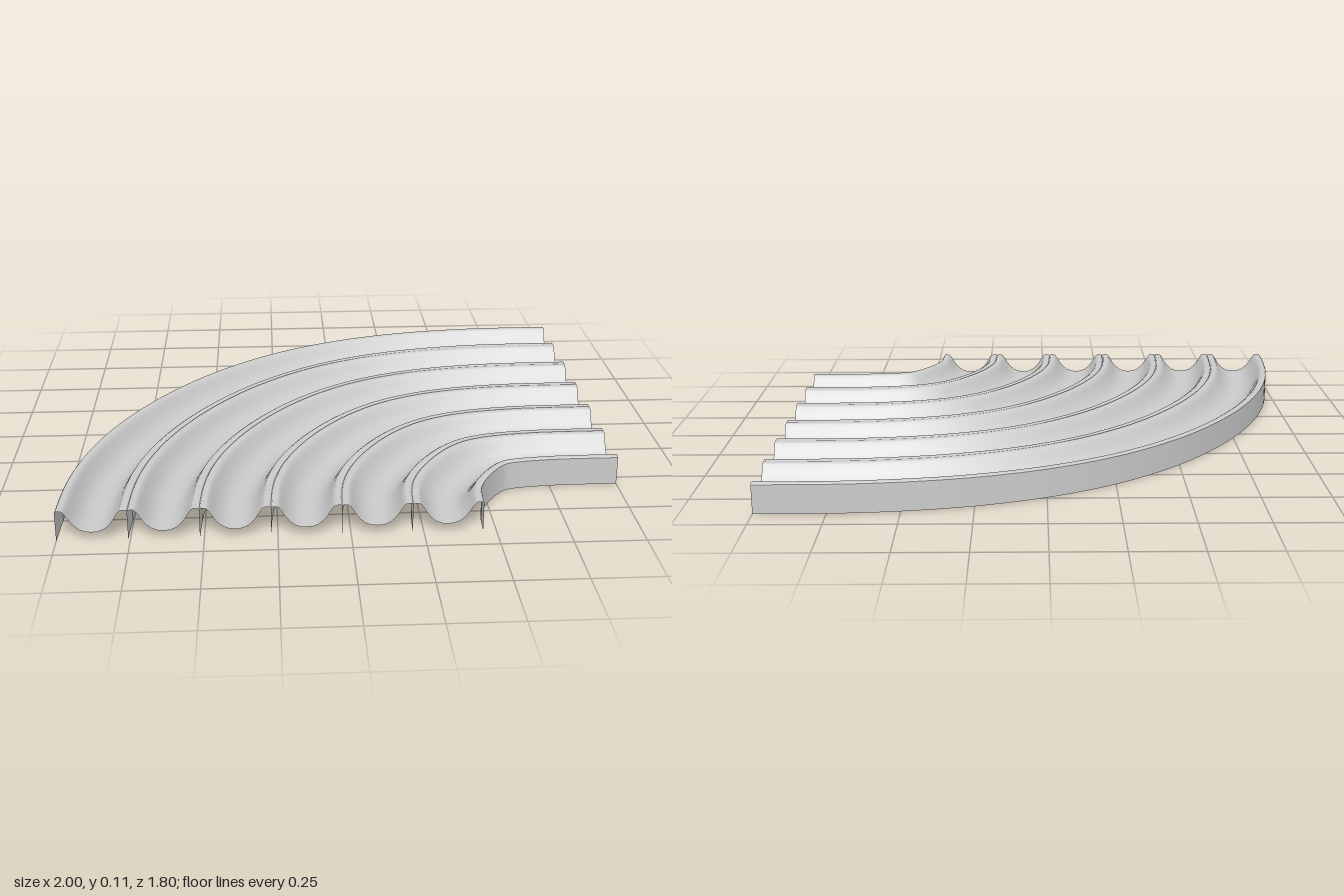
import * as THREE from 'three';

const LANES = 6;
const WIDTH = 1.4545;
const LANE = WIDTH / LANES;
const STEPS = 80;
const TOP = 0.11;

// Innermost edge of the bend: x, z and heading in degrees (90 = away from the front)
const bend = new THREE.CatmullRomCurve3([
  [0.4545, 0.9, 90], [0.46, 0.8, 84], [0.475, 0.745, 72], [0.505, 0.685, 60],
  [0.54, 0.632, 51], [0.567, 0.601, 42], [0.59, 0.584, 30], [0.632, 0.572, 18],
  [0.7, 0.563, 9], [0.8, 0.556, 3.5], [1, 0.5545, 0],
].map(([x, z, deg]) => new THREE.Vector3(x, THREE.MathUtils.degToRad(deg), z)), false, 'catmullrom', 0.5);

// Half of one trough: distance from the lane edge, height
const halfTrough = [
  [0, 0.105], [0.004, TOP], [0.02, TOP], [0.028, 0.105], [0.036, 0.093],
  [0.048, 0.073], [0.062, 0.055], [0.08, 0.04], [0.1, 0.032],
];
const trough = [
  ...halfTrough,
  [LANE / 2, 0.03],
  ...halfTrough.map(([s, y]) => [LANE - s, y]).reverse(),
];

// Sweep a section (offset outward from the inner edge, height) along the bend
function sweep(section) {
  const positions = [];
  const indices = [];
  const n = section.length;
  for (let i = 0; i <= STEPS; i++) {
    const p = bend.getPoint(i / STEPS);
    for (const [s, y] of section) {
      positions.push(p.x - s * Math.sin(p.y), y, p.z - s * Math.cos(p.y));
    }
    if (i === STEPS) break;
    for (let j = 0; j < n - 1; j++) {
      const a = i * n + j;
      const b = a + n;
      indices.push(a, b, a + 1, b, b + 1, a + 1);
    }
  }
  const geometry = new THREE.BufferGeometry();
  geometry.setAttribute('position', new THREE.Float32BufferAttribute(positions, 3));
  geometry.setIndex(indices);
  geometry.computeVertexNormals();
  return geometry;
}

export function createModel() {
  const group = new THREE.Group();
  group.name = 'curvedLaneTrack';
  const material = new THREE.MeshStandardMaterial({ color: 0xcccccc, side: THREE.DoubleSide });

  const add = (section, name) => {
    const mesh = new THREE.Mesh(sweep(section), material);
    mesh.name = name;
    group.add(mesh);
  };

  // Rounded troughs side by side
  for (let i = 0; i < LANES; i++) {
    add(trough.map(([s, y]) => [s + i * LANE, y]), `laneTrough${i + 1}`);
  }

  // Thin upright walls carrying the ridges
  for (let i = 0; i <= LANES; i++) {
    add([[i * LANE, 0], [i * LANE, 0.105]], `supportWall${i + 1}`);
  }
  return group;
}
